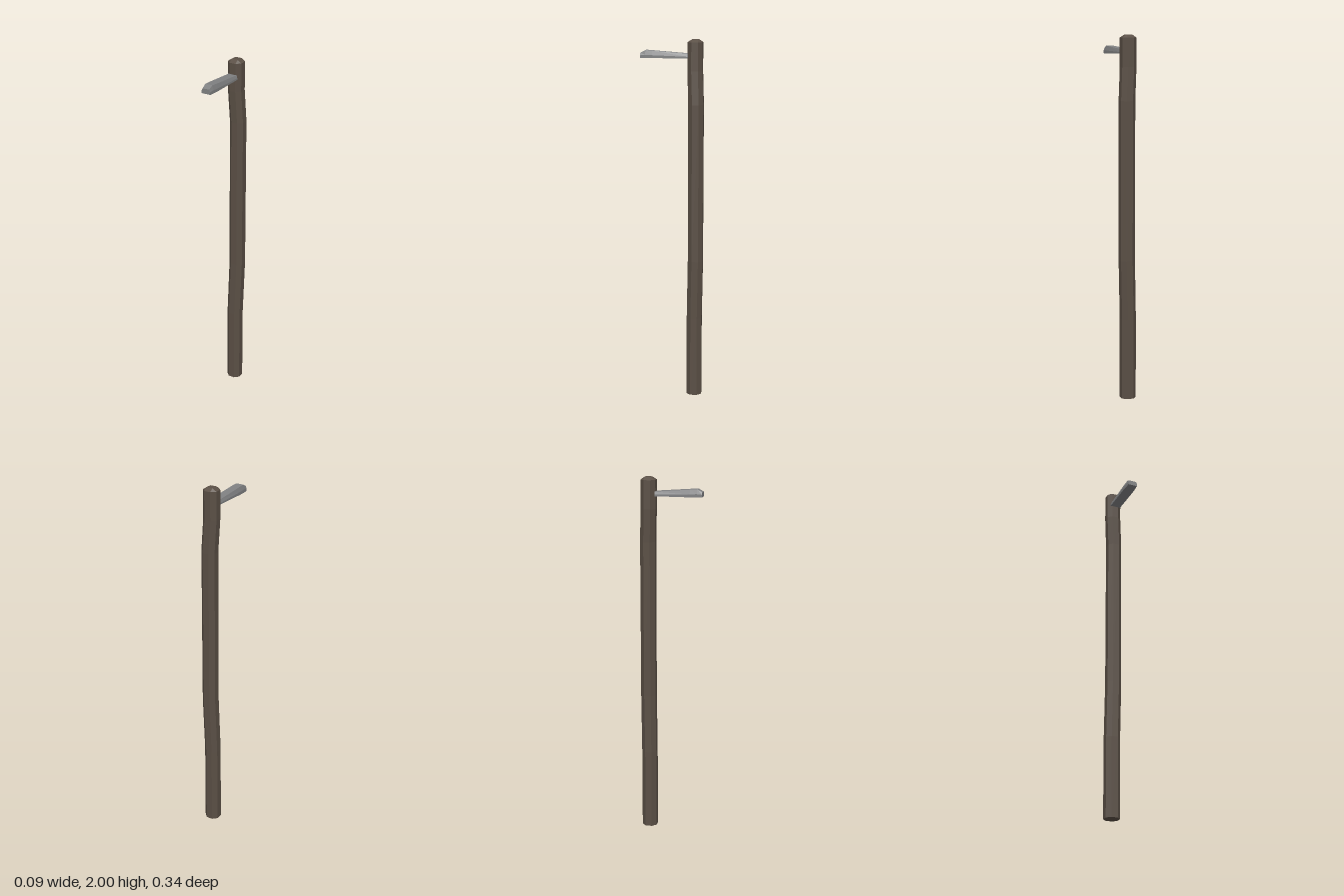
import * as THREE from 'three';

// Skins matching rings of points, each counterclockwise about the path direction, and closes both ends
function loft(rings) {
  const pos = [];
  const tri = (a, b, c) => pos.push(...a, ...b, ...c);
  const n = rings[0].length;
  for (let i = 0; i < rings.length - 1; i++) {
    for (let j = 0; j < n; j++) {
      const k = (j + 1) % n;
      const a = rings[i][j], b = rings[i][k], c = rings[i + 1][k], d = rings[i + 1][j];
      tri(a, b, c);
      tri(a, c, d);
    }
  }
  const first = rings[0], last = rings[rings.length - 1];
  for (let j = 1; j < n - 1; j++) {
    tri(first[0], first[j + 1], first[j]);
    tri(last[0], last[j], last[j + 1]);
  }
  const geometry = new THREE.BufferGeometry();
  geometry.setAttribute('position', new THREE.Float32BufferAttribute(pos, 3));
  geometry.computeVertexNormals();
  return geometry;
}

// Octagon lying flat; a = half width, b = half length of each flat side
function octagon(cx, y, cz, a, b) {
  return [[a, -b], [a, b], [b, a], [-b, a], [-a, b], [-a, -b], [-b, -a], [b, -a]]
    .map(([x, up]) => [cx + x, y, cz - up]);
}

// Blade section: flat bottom, upright sides, chamfered top
function bladeSection(z, w, wTop, yBottom, yMid, yTop) {
  const cx = -0.005;
  return [[-w, yBottom], [w, yBottom], [w, yMid], [wTop, yTop], [-wTop, yTop], [-w, yMid]]
    .map(([x, y]) => [cx + x, y, z]);
}

export function createModel() {
  const wood = new THREE.MeshStandardMaterial({ color: 0x5a4f45 });
  wood.name = 'dark wood';
  const metal = new THREE.MeshStandardMaterial({ color: 0x808182 });
  metal.name = 'grey metal';

  const group = new THREE.Group();
  group.name = 'poleTool';
  const add = (name, geometry, material) => {
    const mesh = new THREE.Mesh(geometry, material);
    mesh.name = name;
    group.add(mesh);
  };

  // Slightly crooked eight-sided shaft, ending in a small square top
  const path = [
    [-0.005, 0, -0.126], [-0.005, 0.45, -0.126], [0.004, 0.78, -0.132],
    [0.004, 1.65, -0.132], [-0.005, 1.83, -0.126], [-0.005, 1.985, -0.126],
  ];
  const shaft = path.map(([x, y, z]) => octagon(x, y, z, 0.041, 0.018));
  shaft.push(octagon(-0.005, 2, -0.127, 0.018, 0.018));
  add('shaft', loft(shaft), wood);

  // Short blade, thickening forward, then cut down at the tip
  add('blade', loft([
    bladeSection(-0.087, 0.03, 0.024, 1.9, 1.908, 1.924),
    bladeSection(0.105, 0.03, 0.023, 1.899, 1.915, 1.939),
    bladeSection(0.143, 0.028, 0.021, 1.899, 1.917, 1.942),
    bladeSection(0.171, 0.026, 0.02, 1.9, 1.914, 1.927),
  ]), metal);

  return group;
}
